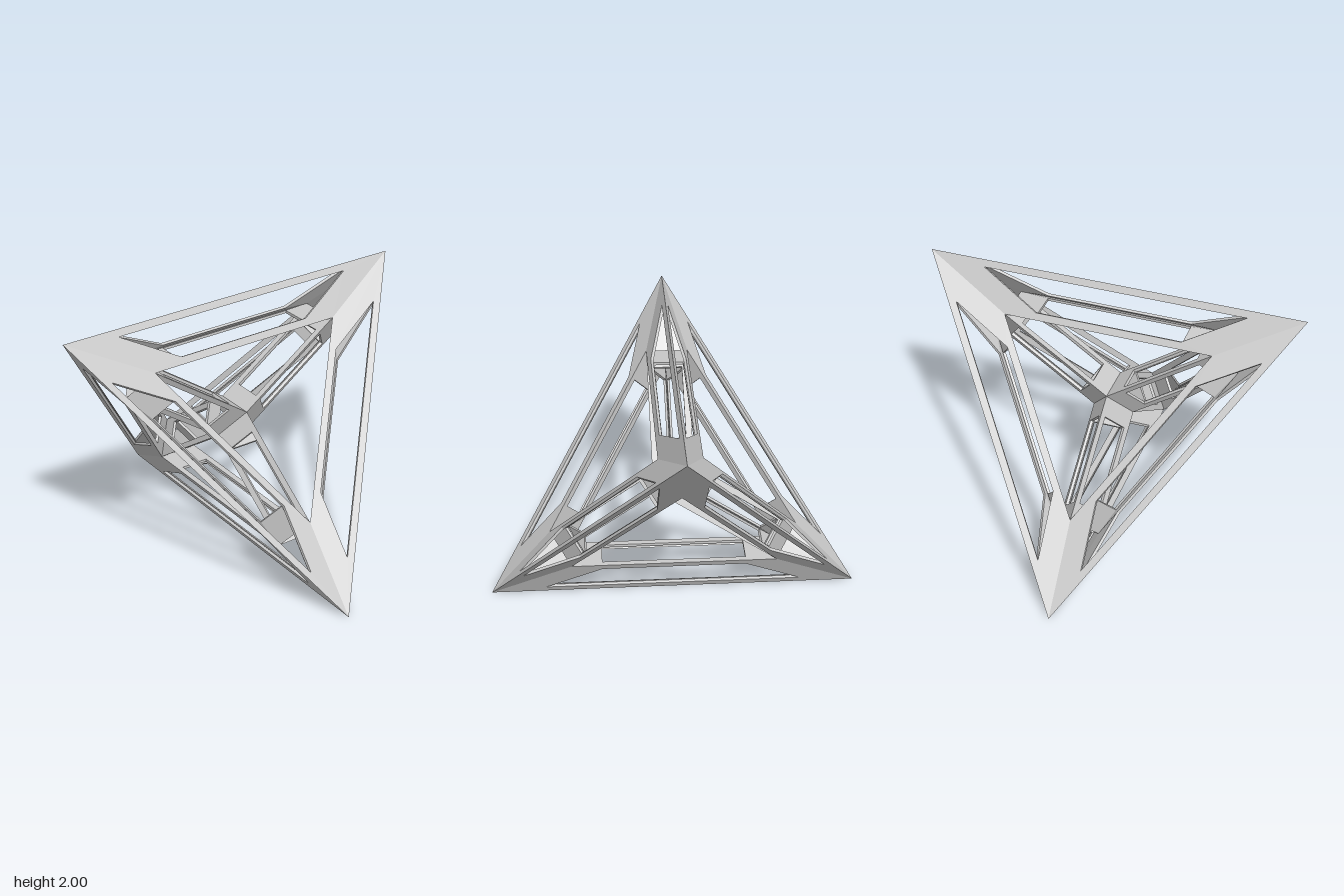
import * as THREE from 'three';

const SHRINK = 5 / 9;     // size of the four inner cells
const SLOT = 0.7;         // slot size relative to its panel
const THICK = 0.022;      // panel thickness

// Four tips on alternate cube corners, then the hub
const nodes = [[-1, 1, 1], [1, -1, 1], [1, 1, -1], [-1, -1, -1], [0, 0, 0]]
  .map((p) => new THREE.Vector3(...p));

// Corner at a node of the cell lying opposite node i; opposite the hub is the outside
function corner(n, i) {
  if (i === 4) return nodes[n].clone();
  const centre = nodes[i].clone().multiplyScalar(-0.25);
  return nodes[n].clone().sub(centre).multiplyScalar(SHRINK).add(centre);
}

const mean = (pts) => pts
  .reduce((sum, p) => sum.add(p), new THREE.Vector3())
  .divideScalar(pts.length);

// Four-sided panel with a slot, thickened towards the beam's middle
function slottedPanel(quad, beamCentre) {
  const centre = mean(quad);
  const normal = quad[1].clone().sub(quad[0]).cross(quad[3].clone().sub(quad[0])).normalize();
  if (normal.dot(centre.clone().sub(beamCentre)) < 0) {
    quad = quad.slice().reverse();
    normal.negate();
  }
  const slot = quad.map((p) => p.clone().lerp(centre, 1 - SLOT));
  const back = slot.map((p) => p.clone().addScaledVector(normal, -THICK));
  const loops = [quad, slot, back, quad]; // front ring, slot rim, back ring
  const pos = [];
  for (let r = 0; r < 3; r++) {
    for (let k = 0; k < 4; k++) {
      const n = (k + 1) % 4;
      const a = loops[r][k], b = loops[r][n], c = loops[r + 1][n], d = loops[r + 1][k];
      for (const p of [a, b, c, a, c, d]) pos.push(p.x, p.y, p.z);
    }
  }
  const geo = new THREE.BufferGeometry();
  geo.setAttribute('position', new THREE.Float32BufferAttribute(pos, 3));
  geo.computeVertexNormals();
  return geo;
}

export function createModel() {
  const model = new THREE.Group();
  model.name = 'tetrahedralFrame';
  const material = new THREE.MeshStandardMaterial({
    color: 0xcccccc, flatShading: true, side: THREE.DoubleSide,
  });

  // A hollow three-sided beam joins every pair of nodes
  for (let n = 0; n < 5; n++) {
    for (let m = n + 1; m < 5; m++) {
      const beam = new THREE.Group();
      beam.name = m === 4 ? 'innerStrut' : 'outerEdgeBeam';
      const cells = [0, 1, 2, 3, 4].filter((i) => i !== n && i !== m);
      const beamCentre = mean(cells.flatMap((i) => [corner(n, i), corner(m, i)]));
      cells.forEach((i, s) => {
        const j = cells[(s + 1) % 3];
        const quad = [corner(n, i), corner(m, i), corner(m, j), corner(n, j)];
        const panel = new THREE.Mesh(slottedPanel(quad, beamCentre), material);
        panel.name = 'slottedPanel';
        beam.add(panel);
      });
      model.add(beam);
    }
  }
  model.position.y = 1; // rest on the ground
  return model;
}
